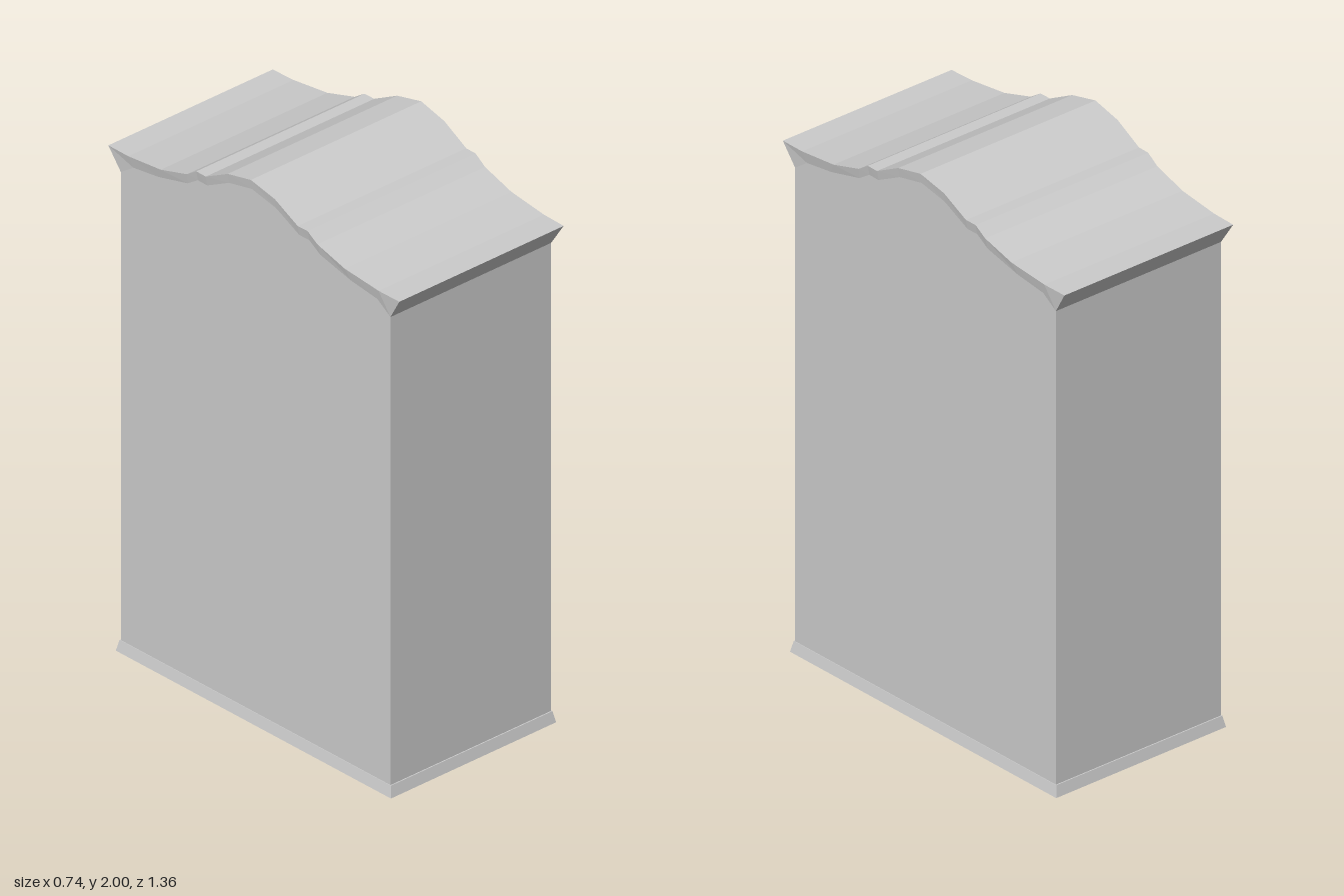
import * as THREE from 'three';

const material = () => new THREE.MeshStandardMaterial({ color: 0xcccccc, flatShading: true });

// Half profile of the crown, centre to edge: [top z, top y, underside z, underside y]
const HALF = [
  [0, 2.0, 0, 1.965],
  [0.11, 1.975, 0.11, 1.94],
  [0.215, 1.92, 0.215, 1.885],
  [0.26, 1.92, 0.26, 1.885],
  [0.305, 1.89, 0.31, 1.852],
  [0.43, 1.853, 0.45, 1.815],
  [0.585, 1.836, 0.57, 1.797],
  [0.68, 1.835, 0.63, 1.755],
];
const mirrored = HALF.slice(1).reverse().map(([a, b, c, d]) => [-a, b, -c, d]);
const PROFILE = [...mirrored, ...HALF];

// Skin a row of four-cornered sections running from back to front
function loft(rings) {
  const index = [];
  for (let i = 0; i < rings.length - 1; i++) {
    for (let j = 0; j < 4; j++) {
      const k = (j + 1) % 4;
      const a = i * 4 + j, b = i * 4 + k, c = b + 4, d = a + 4;
      index.push(a, b, c, a, c, d);
    }
  }
  const e = (rings.length - 1) * 4;
  index.push(0, 2, 1, 0, 3, 2, e, e + 1, e + 2, e, e + 2, e + 3);
  const indexed = new THREE.BufferGeometry();
  indexed.setAttribute('position', new THREE.Float32BufferAttribute(rings.flat(2), 3));
  indexed.setIndex(index);
  const geometry = indexed.toNonIndexed();
  geometry.computeVertexNormals();
  return geometry;
}

function part(name, geometry) {
  const mesh = new THREE.Mesh(geometry, material());
  mesh.name = name;
  return mesh;
}

export function createModel() {
  const group = new THREE.Group();
  group.name = 'archedCabinet';

  // Tall body whose top follows the underside of the crown
  group.add(part('body', loft(PROFILE.map(([, , z, y]) => [
    [0.348, 0.02, z], [0.348, y, z], [-0.348, y, z], [-0.348, 0.02, z],
  ]))));

  // Curved crown, a little wider towards its peak and flared at both ends
  group.add(part('crown', loft(PROFILE.map(([zt, yt, zl, yl]) => {
    const top = 0.369 - 0.013 * Math.abs(zt) / 0.68;
    const low = 0.364 - 0.016 * Math.abs(zl) / 0.63;
    return [[low, yl, zl], [top, yt, zt], [-top, yt, zt], [-low, yl, zl]];
  }))));

  // Base moulding with sloping sides
  const base = new THREE.BoxGeometry(0.716, 0.04, 1.286);
  base.translate(0, 0.02, 0);
  const p = base.attributes.position;
  for (let i = 0; i < p.count; i++) {
    if (p.getY(i) > 0.02) {
      p.setX(i, Math.sign(p.getX(i)) * 0.35);
      p.setZ(i, Math.sign(p.getZ(i)) * 0.634);
    }
  }
  base.computeVertexNormals();
  group.add(part('baseMoulding', base));

  return group;
}
